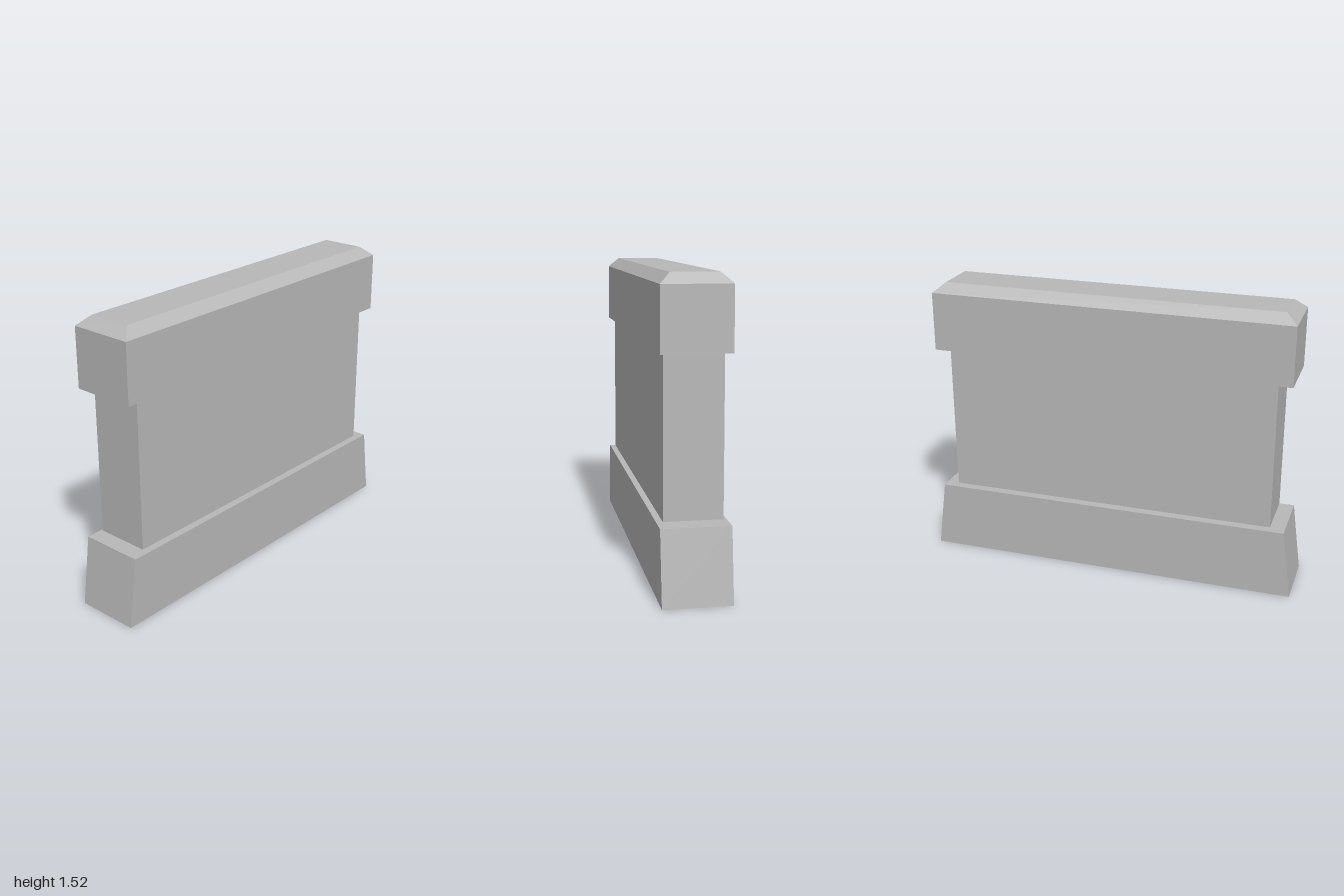
import * as THREE from 'three';

// Closed or open stack of rectangular rings, each [halfX, y, halfZ], listed from bottom to top.
function ringStack(rings, closeBottom, closeTop) {
  const corners = rings.map(([x, y, z]) => [[x, y, z], [x, y, -z], [-x, y, -z], [-x, y, z]]);
  const points = [];
  const quad = (a, b, c, d) => points.push(...a, ...b, ...c, ...a, ...c, ...d);
  for (let r = 0; r < rings.length - 1; r++) {
    for (let i = 0; i < 4; i++) {
      const j = (i + 1) % 4;
      quad(corners[r][i], corners[r][j], corners[r + 1][j], corners[r + 1][i]);
    }
  }
  if (closeTop) quad(...corners[corners.length - 1]);
  if (closeBottom) quad(...[...corners[0]].reverse());
  const geometry = new THREE.BufferGeometry();
  geometry.setAttribute('position', new THREE.Float32BufferAttribute(points, 3));
  geometry.computeVertexNormals();
  return geometry;
}

export function createModel() {
  const model = new THREE.Group();
  model.name = 'barrierWall';

  const stone = new THREE.MeshStandardMaterial({ color: 0xb8b8b8, side: THREE.DoubleSide });
  stone.name = 'stone grey';

  const add = (name, geometry) => {
    const mesh = new THREE.Mesh(geometry, stone);
    mesh.name = name;
    model.add(mesh);
  };

  // Plinth with sloping ends, hollow from below
  add('plinth', ringStack([[0.168, 0, 1], [0.168, 0.365, 0.95]], false, true));

  // Wall panel, floating just clear of the plinth
  add('wallPanel', ringStack([[0.143, 0.377, 0.875], [0.143, 1.16, 0.875]], true, false));

  // Coping block with a bevelled top
  add('coping', ringStack([[0.168, 1.16, 0.95], [0.168, 1.47, 0.95], [0.115, 1.52, 0.89]], true, true));

  return model;
}
